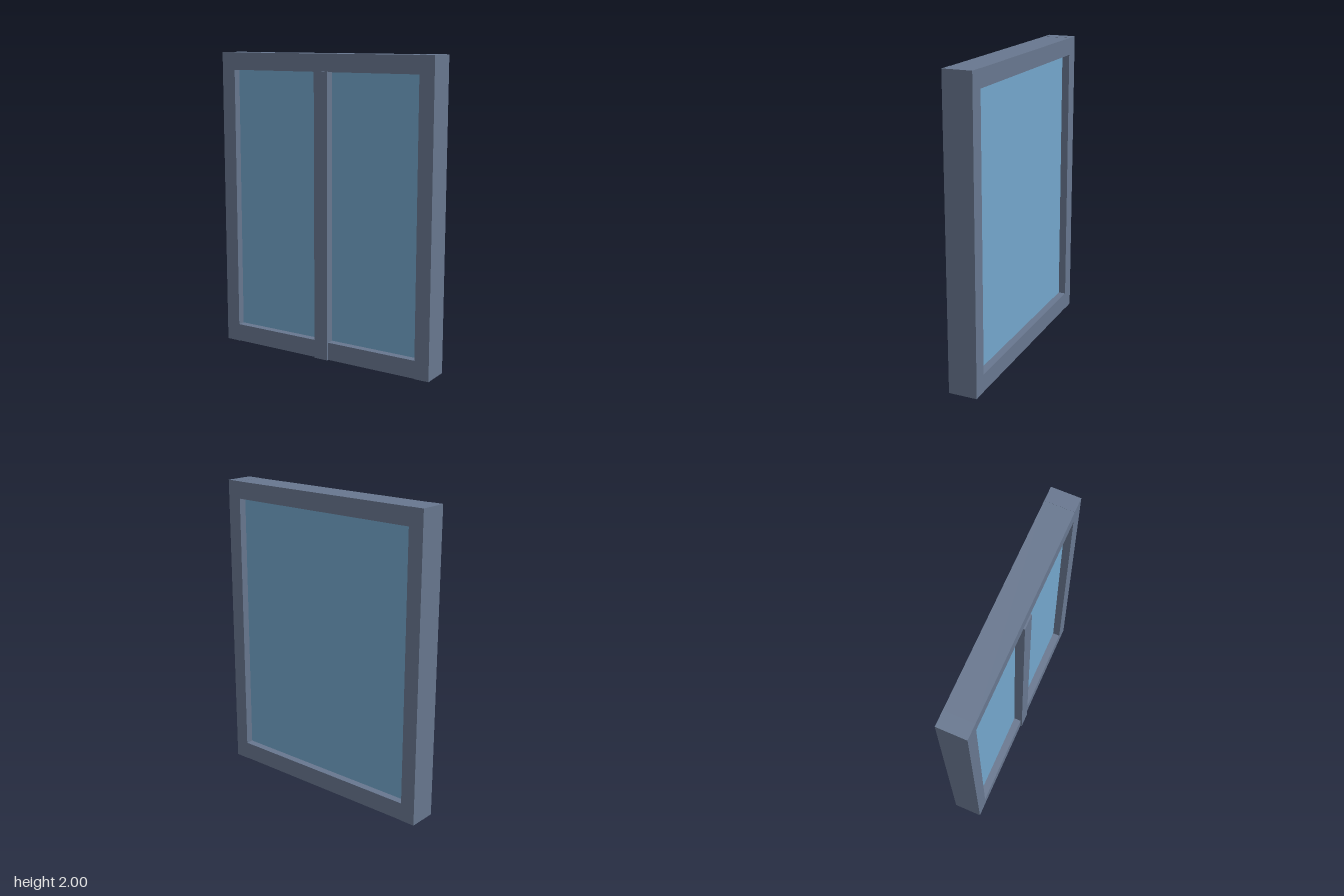
import * as THREE from 'three';

export function createModel() {
  const model = new THREE.Group();
  model.name = 'window';

  const frameMat = new THREE.MeshStandardMaterial({ color: 0x68778f });
  frameMat.name = 'slate frame';
  const glassMat = new THREE.MeshStandardMaterial({ color: 0x73a6cb });
  glassMat.name = 'blue glass';

  // Box given by its [min, max] range along each axis
  function box(name, material, [x0, x1], [y0, y1], [z0, z1]) {
    const geometry = new THREE.BoxGeometry(x1 - x0, y1 - y0, z1 - z0);
    const mesh = new THREE.Mesh(geometry, material);
    mesh.position.set((x0 + x1) / 2, (y0 + y1) / 2, (z0 + z1) / 2);
    mesh.name = name;
    model.add(mesh);
  }

  const depth = [-0.1, 0.09];
  const inner = [-0.69, 0.69];

  // Upright sides of the frame
  box('rightStile', frameMat, [-0.79, -0.69], [0, 2], depth);
  box('leftStile', frameMat, [0.69, 0.79], [0, 2], depth);

  // Rails between the stiles; the bottom one sits a hair above the pane's foot
  box('topRail', frameMat, inner, [1.885, 1.999], depth);
  box('bottomRail', frameMat, inner, [0.002, 0.12], depth);

  // Pane running down through the bottom rail
  box('glassPane', glassMat, inner, [0, 1.9], [-0.05, 0.04]);

  // Centre bar, standing slightly proud on the front only
  box('centreMullion', frameMat, [-0.05, 0.05], [0, 1.89], [0.03, 0.1]);

  return model;
}
